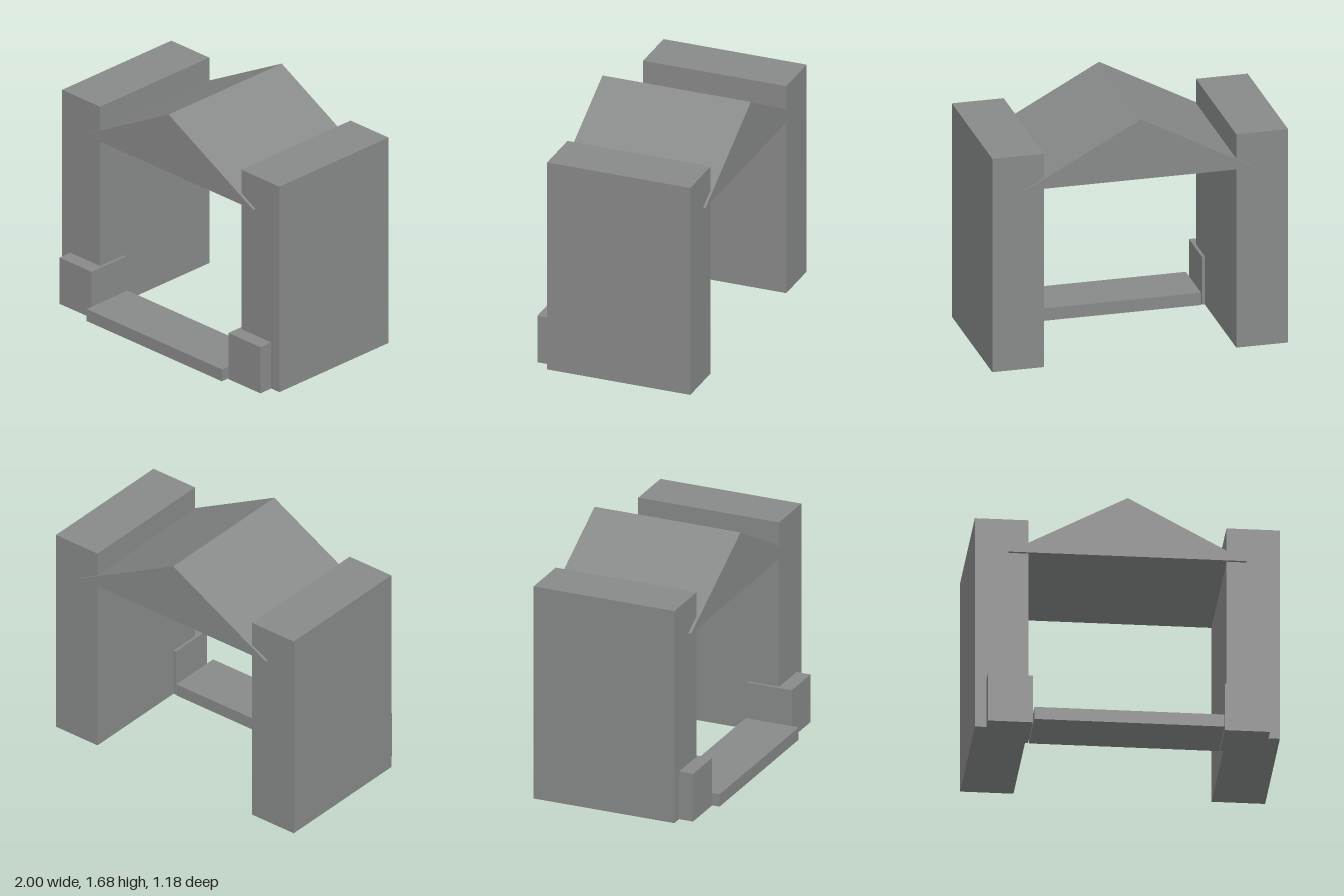
import * as THREE from 'three';

export function createModel() {
  const group = new THREE.Group();
  const stone = new THREE.MeshStandardMaterial({ color: 0x888a89 });
  stone.name = 'stoneGrey';

  // Box given by its extents on each axis
  const addBox = (name, [x0, x1], [y0, y1], [z0, z1]) => {
    const mesh = new THREE.Mesh(new THREE.BoxGeometry(x1 - x0, y1 - y0, z1 - z0), stone);
    mesh.position.set((x0 + x1) / 2, (y0 + y1) / 2, (z0 + z1) / 2);
    mesh.name = name;
    group.add(mesh);
  };

  // Side walls and the low posts at their front inner corners
  for (const [side, s] of [['left', 1], ['right', -1]]) {
    const span = (a, b) => (s > 0 ? [a, b] : [-b, -a]);
    addBox(side + 'Wall', span(0.65, 1), [0, 1.5], [-0.573, 0.437]);
    addBox(side + 'Post', span(0.63, 0.925), [0, 0.337], [0.215, 0.537]);
  }

  // Entrance step between the posts
  addBox('step', [-0.623, 0.623], [0, 0.087], [0.21, 0.59]);

  // Solid gable roof, running front to back
  const gable = new THREE.Shape([
    new THREE.Vector2(-0.78, 1.26),
    new THREE.Vector2(0.78, 1.26),
    new THREE.Vector2(0, 1.68),
  ]);
  const roof = new THREE.Mesh(
    new THREE.ExtrudeGeometry(gable, { depth: 1.047, bevelEnabled: false }), stone);
  roof.position.z = -0.59;
  roof.name = 'gableRoof';
  group.add(roof);

  return group;
}
